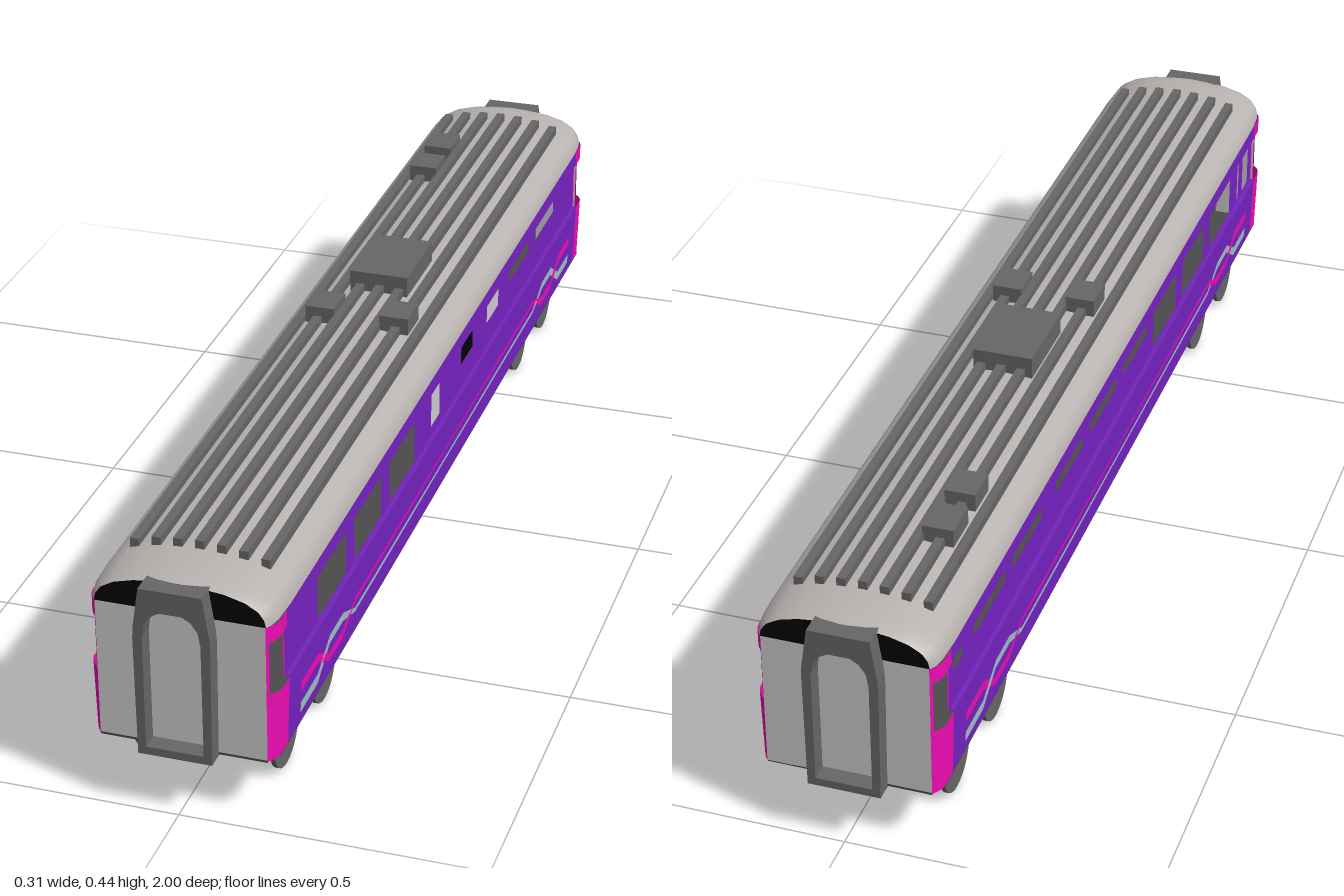
import * as THREE from 'three';

const mat = (color, side = THREE.DoubleSide) => new THREE.MeshStandardMaterial({ color, side });
const M = {
  purple: mat(0x7422c0), magenta: mat(0xee0cb4), black: mat(0x020202),
  pale: mat(0xcccccc), roof: mat(0xb8b2b0), stripe: mat(0x9fc0c4),
  dark: mat(0x666666, THREE.FrontSide), floor: mat(0x4a4a4a), ceiling: mat(0x666666),
};
const BOTTOM = 0.107, WAIST = 0.228, RAIL = 0.318, EAVES = 0.348, DOOR = 0.91, END = 0.97, GAP = 0.001;

// Half width of the body: flared below the waist, recessed along the windows, rounded in at the corners
function halfWidth(y, z) {
  let x = 0.151;
  if (y < WAIST + GAP / 2) x = THREE.MathUtils.mapLinear(y, BOTTOM, WAIST, 0.15, 0.154);
  else if (y < RAIL + GAP / 2) x = 0.146;
  const t = Math.max(0, (Math.abs(z) - 0.94) / 0.03);
  return x - (x - 0.137) * t * t;
}

// Roof cross-section, from the crown out to the eaves
const ROOF = [[0, 0.408], [0.04, 0.406], [0.08, 0.401], [0.115, 0.391], [0.138, 0.377], [0.148, 0.362], [0.151, EAVES]];
function roofY(x) {
  const a = Math.abs(x), i = ROOF.findIndex((p) => p[0] >= a);
  if (i < 1) return ROOF[0][1];
  return THREE.MathUtils.mapLinear(a, ROOF[i - 1][0], ROOF[i][0], ROOF[i - 1][1], ROOF[i][1]);
}
const fullRoof = [...ROOF.slice(1).reverse().map(([x, y]) => [-x, y]), ...ROOF];
const endRoof = (p, t) => [p[0] * (1 - 0.085 * t), EAVES + (p[1] - EAVES) * (1 - 0.13 * t)];

const poly = (pts, Type = THREE.Shape) => new Type(pts.map(([x, y]) => new THREE.Vector2(x, y)));
const rect = (z0, z1, y0, y1) => [[z0, y0], [z1, y0], [z1, y1], [z0, y1]];

export function createModel() {
  const group = new THREE.Group();
  const add = (name, geo, material, x = 0, y = 0, z = 0) => {
    const m = new THREE.Mesh(geo, material);
    m.name = name;
    m.position.set(x, y, z);
    group.add(m);
    return m;
  };
  const box = (name, x0, x1, y0, y1, z0, z1, material = M.dark) =>
    add(name, new THREE.BoxGeometry(x1 - x0, y1 - y0, z1 - z0), material, (x0 + x1) / 2, (y0 + y1) / 2, (z0 + z1) / 2);

  // Lays a flat (z, y) geometry onto the body side
  const wrap = (name, geo, side, offset, material) => {
    const p = geo.attributes.position;
    for (let i = 0; i < p.count; i++) {
      const z = p.getX(i), y = p.getY(i);
      p.setXYZ(i, side * (halfWidth(y, z) + offset), y, z);
    }
    geo.computeVertexNormals();
    return add(name, geo, material);
  };
  const patch = (name, side, z0, z1, y0, y1, material, offset = 0) =>
    wrap(name, new THREE.PlaneGeometry(z1 - z0, y1 - y0, 8, 1).translate((z0 + z1) / 2, (y0 + y1) / 2, 0), side, offset, material);
  // Painted ribbon through [z, y, half height] points
  const ribbon = (name, side, pts, material) => {
    const outline = [...pts.map(([z, y, h]) => [z, y + h]), ...pts.slice().reverse().map(([z, y, h]) => [z, y - h])];
    wrap(name, new THREE.ShapeGeometry(poly(outline)), side, 0.0015, material);
  };

  // Window openings on each side: [z0, z1, y0, y1]
  const big = [[0.6, 0.747], [0.408, 0.556], [0.213, 0.361]].map(([a, b]) => [a, b, 0.231, 0.317]);
  const strip = (list) => list.map(([a, b]) => [a, b, 0.287, 0.317]);
  const windows = {
    1: [...big, ...strip([[-0.555, -0.411], [-0.745, -0.603]])],
    [-1]: [...big, ...strip([[0.02, 0.17], [-0.18, -0.02], [-0.37, -0.22], [-0.6, -0.45], [-0.79, -0.635], [-0.89, -0.845]]),
      [0.845, 0.885, 0.231, 0.317], [0.805, 0.815, 0.231, 0.317]],
  };

  for (const side of [1, -1]) {
    // Side walls: skirt, window band and cantrail
    patch('lowerSideWall', side, -DOOR, DOOR, BOTTOM, WAIST, M.purple);
    const wall = poly(rect(-DOOR, DOOR, WAIST + GAP, RAIL));
    for (const w of windows[side]) wall.holes.push(poly(rect(...w), THREE.Path));
    wrap('windowBand', new THREE.ShapeGeometry(wall), side, 0, M.purple);
    patch('cantrail', side, -DOOR, DOOR, RAIL + GAP, EAVES, M.purple);

    // Ledges above and below the window band
    const ledge = (w, y) => box('ledge', side * 0.1485 - w / 2, side * 0.1485 + w / 2, y, y + GAP, -DOOR, DOOR, M.purple);
    ledge(0.01, WAIST - GAP / 2);
    ledge(0.004, RAIL);

    // Doors at both ends
    for (const e of [1, -1]) {
      const door = (name, a, b, y0, y1) => patch(name, side, Math.min(e * a, e * b), Math.max(e * a, e * b), y0, y1, M.magenta);
      door('lowerDoor', DOOR, END, BOTTOM, WAIST);
      door('doorTop', DOOR, END, RAIL + GAP, EAVES);
      door('doorInnerPost', DOOR, 0.916, WAIST + GAP, RAIL);
      door('doorOuterPost', 0.964, END, WAIST + GAP, RAIL);

      // Crossing ribbons above the wheels
      const flip = (pts) => pts.map(([z, y, h]) => [e * z, y, h]);
      ribbon('paleRibbon', side, flip([[0.855, 0.137, 0.009], [0.77, 0.137, 0.009], [0.71, 0.175, 0.008],
        [0.64, 0.175, 0.008], [0.575, 0.15, 0.004], [0, 0.15, 0.003]]), M.stripe);
      ribbon('magentaRibbon', side, flip([[0.855, 0.176, 0.009], [0.77, 0.176, 0.009], [0.71, 0.142, 0.008],
        [0.64, 0.142, 0.008], [0.575, 0.17, 0.004], [0, 0.17, 0.002]]), M.magenta);
    }
  }
  // Blank panels on one side
  patch('tallPanel', 1, 0.062, 0.114, 0.25, 0.317, M.pale, 0.001);
  patch('darkPanel', 1, -0.152, -0.077, 0.278, 0.317, M.black, 0.001);
  patch('palePanel', 1, -0.33, -0.25, 0.278, 0.317, M.pale, 0.001);

  // Interior behind the windows: centre partition and ceiling
  add('centrePartition', new THREE.PlaneGeometry(1.92, 0.24).rotateY(Math.PI / 2), M.black, 0, 0.228, 0);
  add('ceiling', new THREE.PlaneGeometry(0.27, 1.92).rotateX(Math.PI / 2), M.ceiling, 0, EAVES, 0);

  // Roof shell lofted along the length, pulled in at the ends
  const stations = [[-END, 1], [-0.96, 0.55], [-0.94, 0.2], [-0.89, 0], [0.89, 0], [0.94, 0.2], [0.96, 0.55], [END, 1]];
  const roofGeo = new THREE.PlaneGeometry(1, 1, fullRoof.length - 1, stations.length - 1);
  stations.forEach(([z, t], j) => fullRoof.forEach((p, i) => {
    const [x, y] = endRoof(p, t);
    roofGeo.attributes.position.setXYZ(j * fullRoof.length + i, x, y, z);
  }));
  roofGeo.computeVertexNormals();
  add('roof', roofGeo, M.roof);

  // Roof ribs
  for (let i = -3; i <= 3; i++) {
    const x = i * 0.0355, y = roofY(x);
    box('roofRib', x - 0.0075, x + 0.0075, y - 0.006, y + 0.014, -0.885, 0.875);
  }
  // Roof equipment
  box('largeRoofUnit', -0.055, 0.05, 0.4, 0.443, -0.22, -0.06);
  for (const [x, z0, z1] of [[-0.067, -0.73, -0.66], [-0.067, -0.625, -0.56], [-0.067, 0.012, 0.078], [0.067, 0.012, 0.078]])
    box('smallRoofUnit', x - 0.026, x + 0.026, 0.402, 0.433, z0, z1);

  // Floor, narrower at the rounded corners
  box('floorEnd', -0.137, 0.137, BOTTOM - 0.002, BOTTOM + 0.002, -END, END, M.floor);
  box('floor', -0.15, 0.15, BOTTOM - 0.0015, BOTTOM + 0.0015, -0.945, 0.945, M.floor);

  // Underframe tank with sloping ends
  const tank = new THREE.ExtrudeGeometry(poly([[-0.51, 0.02], [0.51, 0.02], [0.57, BOTTOM], [-0.57, BOTTOM]]), { depth: 0.21, bevelEnabled: false });
  add('underframe', tank.translate(0, 0, -0.105).rotateY(-Math.PI / 2), M.dark, -0.004);

  // Gangway frame with an arched opening
  const frame = poly([[-0.0605, 0.103], [0.0605, 0.103], [0.0625, 0.31], [0.0615, 0.33], [0.051, 0.4], [-0.051, 0.4], [-0.0615, 0.33], [-0.0625, 0.31]]);
  const arch = [[0.047, 0.117], [0.047, 0.315], [0.043, 0.338], [0.032, 0.354], [0.018, 0.362]];
  frame.holes.push(poly([...arch, ...arch.slice().reverse().map(([x, y]) => [-x, y])], THREE.Path));
  const frameGeo = new THREE.ExtrudeGeometry(frame, { depth: 0.04, bevelEnabled: false }).translate(0, 0, 0.96);

  for (const e of [1, -1]) {
    // End wall, upper glazing and gangway
    const end = new THREE.Group();
    end.name = e > 0 ? 'frontEnd' : 'backEnd';
    end.rotation.y = e > 0 ? 0 : Math.PI;
    const parts = [
      ['endWall', new THREE.ShapeGeometry(poly(rect(-0.137, 0.137, BOTTOM, EAVES))).translate(0, 0, END), M.pale],
      ['endGlazing', new THREE.ShapeGeometry(poly(fullRoof.map((p) => endRoof(p, 1)))).translate(0, 0, END), M.black],
      ['gangway', frameGeo, M.dark, -0.003 * e],
    ];
    for (const [name, geo, material, x = 0] of parts) {
      const m = new THREE.Mesh(geo, material);
      m.name = name;
      m.position.x = x;
      end.add(m);
    }
    group.add(end);

    // Bogie with pivot, axles and wheels
    const mid = -0.004;
    box('bogieFrame', mid - 0.06, mid + 0.06, 0.037, 0.079, e * 0.718 - 0.15, e * 0.718 + 0.15);
    add('bogiePivot', new THREE.CylinderGeometry(0.034, 0.034, 0.03, 24), M.dark, mid, 0.092, e * 0.718);
    for (const z of [0.621, 0.815]) {
      add('axle', new THREE.CylinderGeometry(0.007, 0.007, 0.185, 12).rotateZ(Math.PI / 2), M.dark, mid, 0.06, e * z);
      for (const s of [1, -1])
        add('wheel', new THREE.CylinderGeometry(0.06, 0.06, 0.008, 32).rotateZ(Math.PI / 2), M.dark, mid + s * 0.115, 0.06, e * z);
    }
  }
  return group;
}
